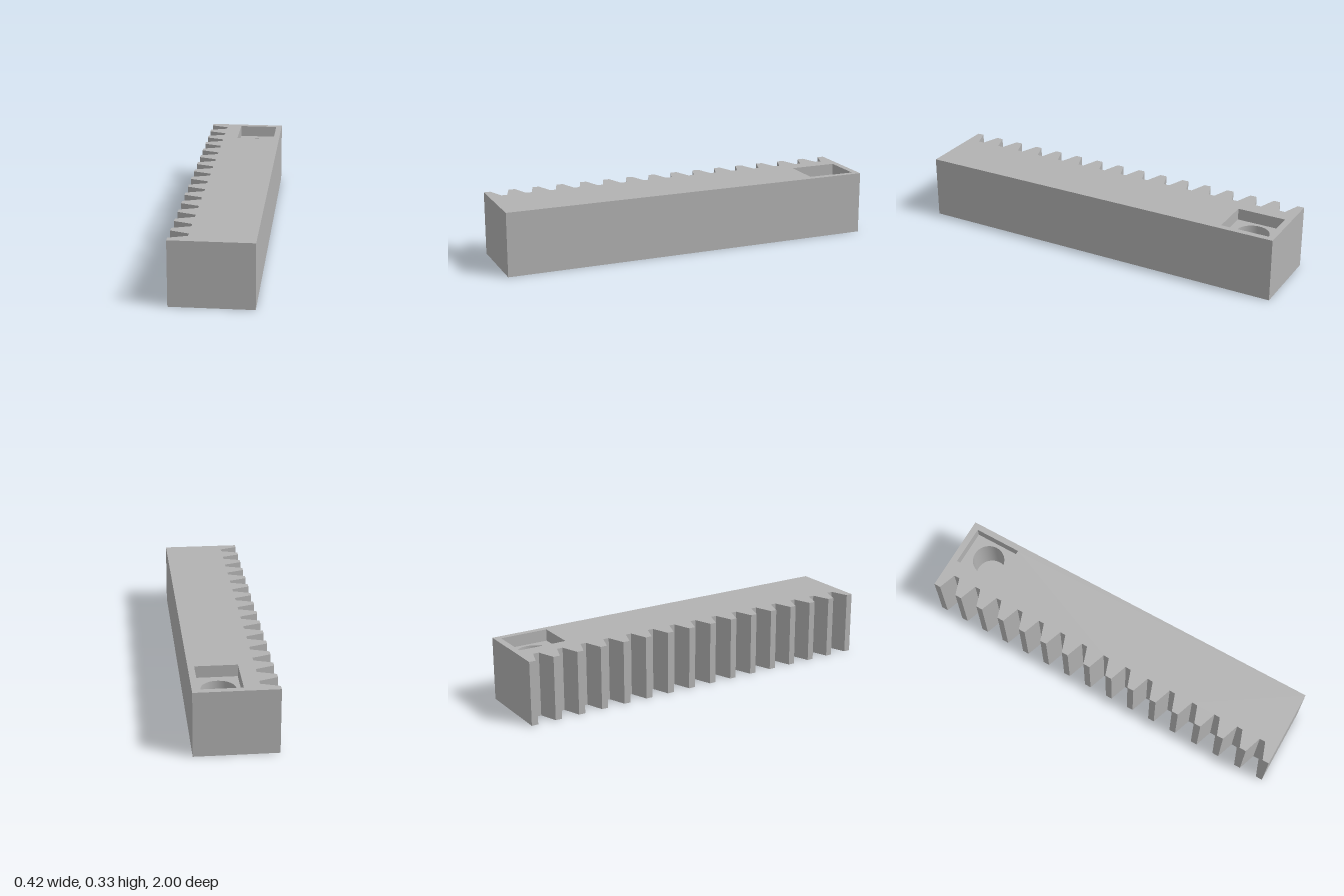
import * as THREE from 'three';

const H = 0.333, HALF_W = 0.208, ROOT = -0.115; // height, half width, tooth root x
const PITCH = 0.131, GAP_TIP = 0.048, GAP_ROOT = 0.0155;
const POCKET_Y = 0.272, BORE_Y = 0.08, BORE_R = 0.085;
const BORE = new THREE.Vector2(0.071, 0.839); // plan coordinates: (x, -z)

const v2 = (x, v) => new THREE.Vector2(x, v);

// Vertical walls along a closed plan loop; counter-clockwise loops face outwards
function walls(loop, y0, y1) {
  const pos = [];
  loop.forEach((a, i) => {
    const b = loop[(i + 1) % loop.length];
    const a0 = [a.x, y0, -a.y], a1 = [a.x, y1, -a.y];
    const b0 = [b.x, y0, -b.y], b1 = [b.x, y1, -b.y];
    pos.push(...a0, ...b0, ...b1, ...a0, ...b1, ...a1);
  });
  const g = new THREE.BufferGeometry();
  g.setAttribute('position', new THREE.Float32BufferAttribute(pos, 3));
  g.computeVertexNormals();
  return g;
}

// Horizontal upward face at height y, with an optional hole
function plate(loop, y, hole) {
  const shape = new THREE.Shape(loop);
  if (hole) shape.holes.push(hole);
  return new THREE.ShapeGeometry(shape, 32).rotateX(-Math.PI / 2).translate(0, y, 0);
}

export function createModel() {
  const group = new THREE.Group();
  group.name = 'gearRack';
  const grey = new THREE.MeshStandardMaterial({ color: 0xb2b2b2 });
  grey.name = 'grey';
  const add = (name, geometry) => {
    const mesh = new THREE.Mesh(geometry, grey);
    mesh.name = name;
    group.add(mesh);
  };

  // Rack outline with 15 tapered gaps between the teeth
  const outline = [v2(HALF_W, -1), v2(HALF_W, 1), v2(-HALF_W, 1)];
  for (let k = 7; k >= -7; k--) {
    const c = k * PITCH;
    outline.push(v2(-HALF_W, c + GAP_TIP), v2(ROOT, c + GAP_ROOT),
      v2(ROOT, c - GAP_ROOT), v2(-HALF_W, c - GAP_TIP));
  }
  outline.push(v2(-HALF_W, -1));

  // Square pocket outline, clockwise so its walls face inwards
  const pocket = [v2(-0.035, 0.712), v2(-0.035, 0.966), v2(0.176, 0.966), v2(0.176, 0.712)];

  // Toothed body
  add('toothedSides', walls(outline, 0, H));
  add('topFace', plate(outline, H, new THREE.Path(pocket)));
  add('bottomFace', new THREE.ShapeGeometry(new THREE.Shape(outline)).rotateX(Math.PI / 2));

  // Square pocket with a round blind bore in its floor
  const rim = new THREE.Path().absarc(BORE.x, BORE.y, BORE_R, 0, Math.PI * 2, true);
  add('pocketWalls', walls(pocket, POCKET_Y, H));
  add('pocketFloor', plate([...pocket].reverse(), POCKET_Y, rim));
  add('boreWall', new THREE.LatheGeometry([v2(BORE_R, POCKET_Y), v2(BORE_R, BORE_Y)], 64)
    .translate(BORE.x, 0, -BORE.y));
  add('boreFloor', new THREE.CircleGeometry(BORE_R, 64).rotateX(-Math.PI / 2)
    .translate(BORE.x, BORE_Y, -BORE.y));

  return group;
}
